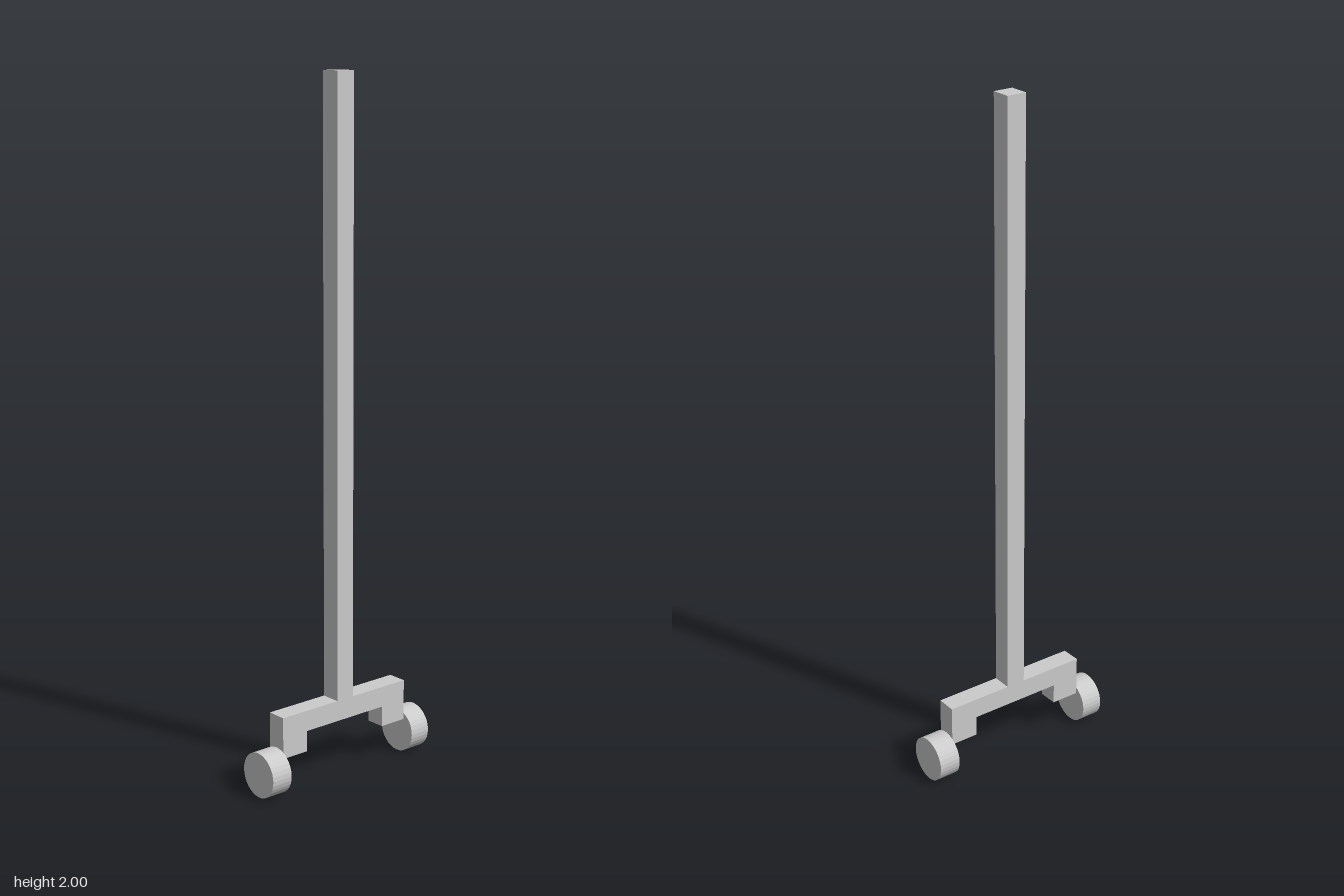
import * as THREE from 'three';

const material = new THREE.MeshStandardMaterial({ color: 0xcccccc, flatShading: true });

// Box given by its x and y ranges; all bars share one depth
const DEPTH = 0.059;
function bar(name, x0, x1, y0, y1) {
  const mesh = new THREE.Mesh(new THREE.BoxGeometry(x1 - x0, y1 - y0, DEPTH), material);
  mesh.position.set((x0 + x1) / 2, (y0 + y1) / 2, 0);
  mesh.name = name;
  return mesh;
}

export function createModel() {
  const group = new THREE.Group();
  group.name = 'wheeledPost';

  // Upright post on a cross bar
  group.add(bar('post', -0.0295, 0.0295, 0.228, 2));
  group.add(bar('crossBar', -0.23, 0.23, 0.167, 0.228));

  // Bracket and wheel at each end
  const radius = 0.066, width = 0.066;
  for (const [side, s] of [['left', 1], ['right', -1]]) {
    const bracket = bar(side + 'Bracket', 0.143, 0.23, 0.106, 0.167);
    bracket.position.x *= s;

    const wheel = new THREE.Mesh(new THREE.CylinderGeometry(radius, radius, width, 32), material);
    wheel.rotation.z = Math.PI / 2;
    wheel.position.set(s * (0.23 + width / 2), radius, 0);
    wheel.name = side + 'Wheel';

    group.add(bracket, wheel);
  }
  return group;
}
